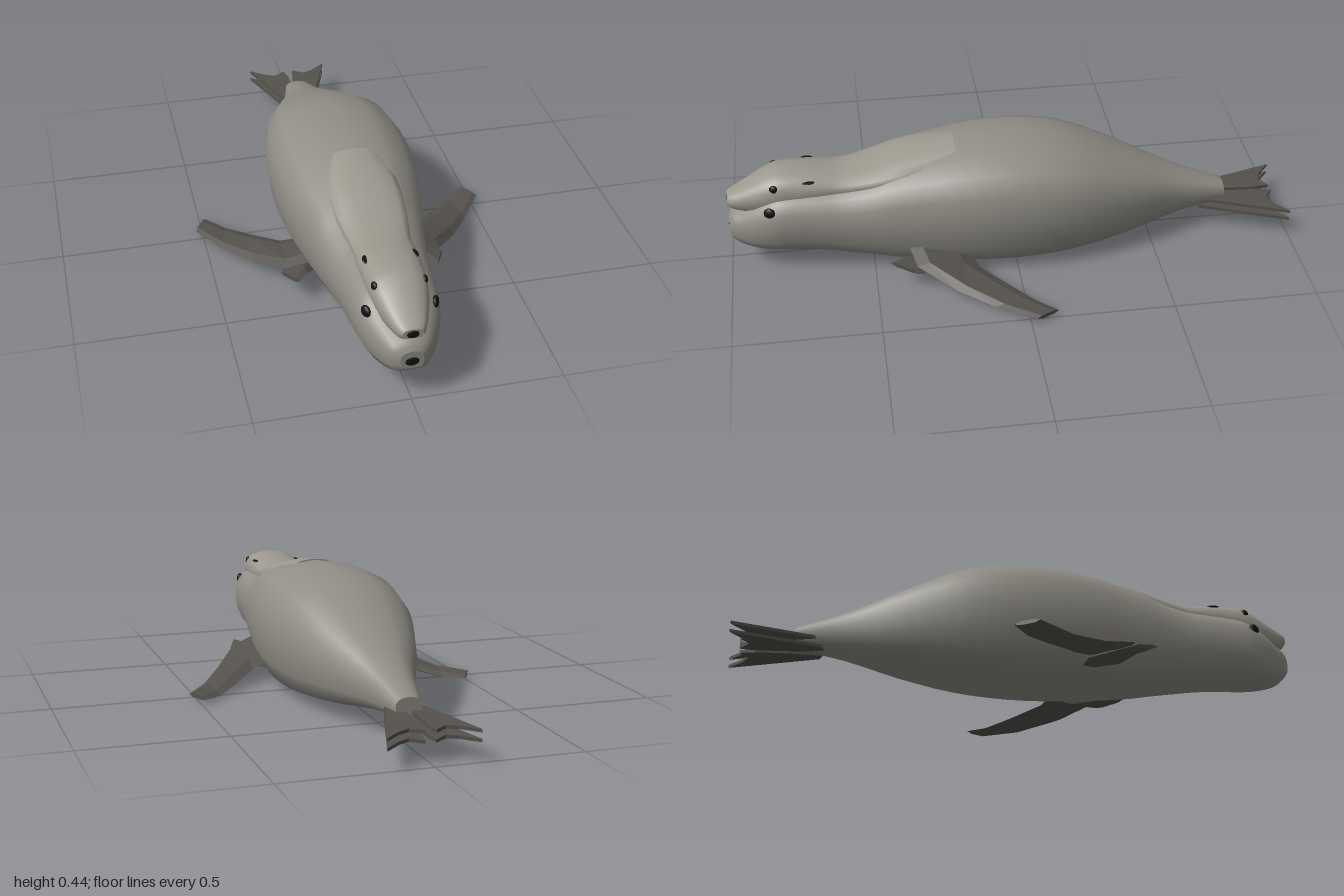
import * as THREE from 'three';

const mat = (color, flat = false) =>
  new THREE.MeshStandardMaterial({ color, flatShading: flat, roughness: 0.9 });

// Unit cross-section, right half from the back down to the belly
const HALF = [[0, 1], [0.45, 0.93], [0.77, 0.75], [0.95, 0.45], [1, 0],
  [0.95, -0.5], [0.8, -0.85], [0.56, -0.96], [0, -1]];
const SECTION = [...HALF, ...HALF.slice(1, -1).reverse().map(([x, y]) => [-x, y])];

// Skin a list of closed rings and cap both ends
function loft(rings) {
  const n = rings[0].length, last = rings.length - 1;
  const pos = [], idx = [];
  rings.forEach(r => r.forEach(p => pos.push(p.x, p.y, p.z)));
  for (let i = 0; i < last; i++) {
    for (let j = 0; j < n; j++) {
      const a = i * n + j, b = i * n + (j + 1) % n;
      idx.push(a, a + n, b, b, a + n, b + n);
    }
  }
  for (const [ring, isEnd] of [[rings[0], false], [rings[last], true]]) {
    const start = pos.length / 3;
    const mid = ring.reduce((s, p) => s.add(p), new THREE.Vector3()).divideScalar(n);
    ring.forEach(p => pos.push(p.x, p.y, p.z));
    pos.push(mid.x, mid.y, mid.z);
    for (let j = 0; j < n; j++) {
      const a = start + j, b = start + (j + 1) % n;
      idx.push(start + n, isEnd ? b : a, isEnd ? a : b);
    }
  }
  const g = new THREE.BufferGeometry();
  g.setAttribute('position', new THREE.Float32BufferAttribute(pos, 3));
  g.setIndex(idx);
  g.computeVertexNormals();
  return g;
}

// Body from stations [z, bottom, top, half width], smoothed lengthwise
function bodyGeometry(stations, steps = 3) {
  const curves = SECTION.map(([sx, sy]) => new THREE.CatmullRomCurve3(
    stations.map(([z, lo, hi, w]) =>
      new THREE.Vector3(sx * w, (lo + hi) / 2 + sy * (hi - lo) / 2, z)), false, 'catmullrom', 0.5));
  const count = (stations.length - 1) * steps;
  return loft(Array.from({ length: count + 1 }, (_, i) => curves.map(c => c.getPoint(i / count))));
}

// Paddle from [leading point, trailing point, thickness] going outwards
function paddleGeometry(stations, side) {
  const rings = stations.map(([lead, trail, t]) => {
    const L = new THREE.Vector3(...lead), T = new THREE.Vector3(...trail);
    const at = (f, dy) => L.clone().lerp(T, f).add(new THREE.Vector3(0, dy, 0));
    const ring = [at(0.2, t / 2), at(0.75, t / 2), T, at(0.75, -t / 2), at(0.2, -t / 2), L];
    ring.forEach(p => { p.x *= side; });
    return side > 0 ? ring : ring.reverse();
  });
  return loft(rings);
}

export function createModel() {
  const model = new THREE.Group();
  const fur = mat(0x918e86), furLight = mat(0x9c988e);
  const flipperSkin = mat(0x55524d, true), black = mat(0x111111);

  const add = (name, geometry, material, parent = model) => {
    const mesh = new THREE.Mesh(geometry, material);
    mesh.name = name;
    parent.add(mesh);
    return mesh;
  };
  const blob = (name, p, size, rotY = 0) => {
    const m = add(name, new THREE.SphereGeometry(1, 12, 8), black);
    m.position.set(...p);
    m.scale.set(...size);
    m.rotation.y = rotY;
  };

  // Main body with the lower muzzle
  add('body', bodyGeometry([
    [-0.78, 0.1, 0.165, 0.045], [-0.6, 0.08, 0.235, 0.09], [-0.4, 0.047, 0.33, 0.175],
    [-0.2, 0.02, 0.415, 0.233], [0, 0.01, 0.443, 0.25], [0.2, 0.015, 0.432, 0.237],
    [0.4, 0.03, 0.39, 0.2], [0.5, 0.045, 0.352, 0.18], [0.6, 0.06, 0.327, 0.162],
    [0.7, 0.074, 0.322, 0.15], [0.8, 0.08, 0.315, 0.14], [0.85, 0.081, 0.298, 0.13],
    [0.9, 0.084, 0.266, 0.112], [0.95, 0.093, 0.23, 0.084], [0.98, 0.107, 0.212, 0.062],
    [0.996, 0.125, 0.19, 0.038]]), fur);

  // Upper head, running back into the neck
  add('upperHead', bodyGeometry([
    [0.2, 0.3, 0.436, 0.1], [0.3, 0.3, 0.422, 0.12], [0.4, 0.3, 0.4, 0.125], [0.5, 0.29, 0.368, 0.115],
    [0.6, 0.27, 0.353, 0.1], [0.7, 0.25, 0.364, 0.1], [0.8, 0.228, 0.37, 0.096],
    [0.85, 0.222, 0.357, 0.089], [0.9, 0.222, 0.33, 0.076], [0.95, 0.228, 0.302, 0.059],
    [0.98, 0.234, 0.287, 0.046], [0.996, 0.242, 0.276, 0.034]]), furLight);

  // Noses
  blob('upperNose', [0, 0.257, 0.988], [0.029, 0.019, 0.012]);
  blob('lowerNose', [0, 0.152, 0.987], [0.034, 0.022, 0.013]);

  for (const side of [1, -1]) {
    const label = side > 0 ? 'left' : 'right';

    // Eyes and ear slits
    blob(label + 'UpperEye', [side * 0.08, 0.328, 0.83], [0.01, 0.017, 0.016], -side * 0.3);
    blob(label + 'LowerEye', [side * 0.111, 0.252, 0.85], [0.012, 0.022, 0.022], -side * 0.4);
    blob(label + 'Ear', [side * 0.081, 0.347, 0.71], [0.01, 0.004, 0.022], side * 0.15);

    // Front flipper and the small flap under its root
    const front = new THREE.Group();
    front.name = label + 'FrontFlipper';
    model.add(front);
    add('paddle', paddleGeometry([
      [[0.19, 0.122, 0.38], [0.18, 0.075, 0.17], 0.035],
      [[0.27, 0.092, 0.36], [0.25, 0.052, 0.14], 0.034],
      [[0.36, 0.045, 0.235], [0.345, 0.028, 0.04], 0.028],
      [[0.44, 0.022, 0.11], [0.42, 0.013, -0.04], 0.02],
      [[0.525, 0.025, -0.02], [0.482, 0.02, -0.1], 0.014]], side), flipperSkin, front);
    add('flap', paddleGeometry([
      [[0.17, 0.07, 0.36], [0.17, 0.035, 0.2], 0.025],
      [[0.205, 0.09, 0.4], [0.215, 0.045, 0.21], 0.025],
      [[0.24, 0.095, 0.45], [0.285, 0.07, 0.35], 0.015]], side), flipperSkin, front);

    // Hind flipper: two notched fans, one above the other
    const hind = new THREE.Group();
    hind.name = label + 'HindFlipper';
    model.add(hind);
    const outline = [[0.02, 0.03], [0.05, 0.02], [0.09, -0.1], [0.152, -0.29],
      [0.098, -0.243], [0.06, -0.225], [0.018, -0.255], [0.008, -0.2], [0.01, -0.08]];
    const shape = new THREE.Shape(outline.map(([x, z]) => new THREE.Vector2(side * x, z)));
    for (const [name, y] of [['upperFan', 0.123], ['lowerFan', 0.092]]) {
      const g = new THREE.ExtrudeGeometry(shape, { depth: 0.011, bevelEnabled: false });
      g.rotateX(Math.PI / 2 - 0.045);
      g.translate(0, y, -0.71);
      add(name, g, flipperSkin, hind);
    }
  }
  return model;
}
